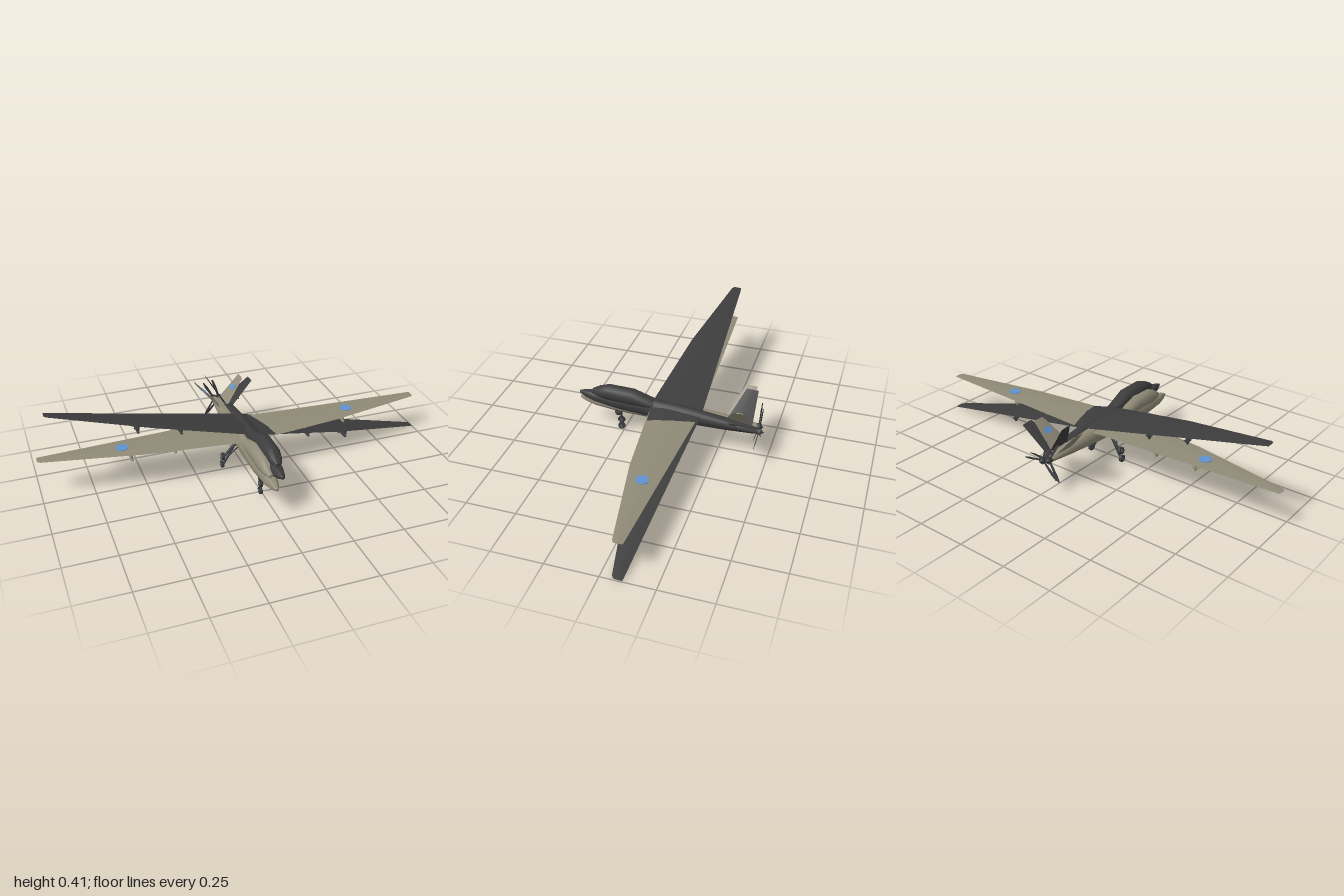
import * as THREE from 'three';
import { toCreasedNormals } from 'three/addons/utils/BufferGeometryUtils.js';

const mat = (name, color) => new THREE.MeshStandardMaterial({ name, color });

// Skin joining rings of [x, y, z] points, with both ends capped
function loft(rings, crease) {
  const n = rings[0].length, pos = rings.flat(2), idx = [];
  rings.forEach((_, k) => {
    if (k === rings.length - 1) return;
    for (let j = 0; j < n; j++) {
      const a = k * n + j, b = k * n + (j + 1) % n;
      idx.push(a, a + n, b, b, a + n, b + n);
    }
  });
  const last = (rings.length - 1) * n;
  for (let j = 1; j < n - 1; j++) idx.push(0, j, j + 1, last, last + j + 1, last + j);
  const g = new THREE.BufferGeometry();
  g.setAttribute('position', new THREE.Float32BufferAttribute(pos, 3));
  g.setIndex(idx);
  return toCreasedNormals(g, crease);
}

// Body from stations [z, top, bottom, halfWidth]
function body(stations) {
  return loft(stations.map(([z, top, bottom, w]) => Array.from({ length: 20 }, (_, i) => {
    const a = i / 20 * Math.PI * 2;
    return [w * Math.cos(a), (top + bottom) / 2 + (top - bottom) / 2 * Math.sin(a), z];
  })), 0.7);
}

// Flying surface from stations [x, leadingZ, trailingZ, halfThickness]
function foil(stations) {
  return loft(stations.map(([x, lead, trail, t]) => {
    const at = f => lead + (trail - lead) * f;
    return [[x, 0, trail], [x, t * 0.7, at(0.65)], [x, t, at(0.3)],
      [x, 0, lead], [x, -t, at(0.3)], [x, -t * 0.7, at(0.65)]];
  }), 0.3);
}

function add(parent, name, geometry, material, x = 0, y = 0, z = 0) {
  const m = new THREE.Mesh(geometry, material);
  m.name = name;
  m.position.set(x, y, z);
  parent.add(m);
  return m;
}

// Straight rod between two points
function rod(parent, name, from, to, r, material) {
  const a = new THREE.Vector3(...from), b = new THREE.Vector3(...to);
  const m = add(parent, name, new THREE.CylinderGeometry(r, r, a.distanceTo(b), 8), material);
  m.position.copy(a).add(b).multiplyScalar(0.5);
  m.quaternion.setFromUnitVectors(new THREE.Vector3(0, 1, 0), b.sub(a).normalize());
}

function wheel(parent, name, x, y, z, mats) {
  const g = new THREE.Group();
  g.name = name;
  g.position.set(x, y, z);
  g.rotation.z = Math.PI / 2;
  add(g, 'tyre', new THREE.CylinderGeometry(0.018, 0.018, 0.013, 20), mats.gear);
  add(g, 'wheelHub', new THREE.CylinderGeometry(0.009, 0.009, 0.016, 14), mats.metal);
  parent.add(g);
}

function aircraft(name, skin, mats, marked) {
  const plane = new THREE.Group();
  plane.name = name;

  add(plane, 'fuselage', body([
    [0.48, 0.006, -0.007, 0.007], [0.45, 0.017, -0.02, 0.02], [0.40, 0.027, -0.032, 0.032],
    [0.27, 0.042, -0.045, 0.042], [0.09, 0.053, -0.05, 0.042], [-0.085, 0.052, -0.042, 0.038],
    [-0.29, 0.038, -0.024, 0.03], [-0.42, 0.022, -0.01, 0.018], [-0.445, 0.016, -0.006, 0.012],
  ]), skin);
  add(plane, 'antennaHump', body([
    [0.41, 0.04, 0.01, 0.014], [0.375, 0.062, 0.005, 0.03], [0.325, 0.084, 0, 0.039],
    [0.2, 0.089, 0, 0.041], [0.105, 0.056, 0.01, 0.035], [0.05, 0.045, 0.02, 0.02],
  ]), skin);

  // Main wing, tip to tip
  const half = [[0.99, -0.062, -0.103, 0.0015], [0.975, -0.053, -0.105, 0.002],
    [0.5, 0.04, -0.13, 0.005], [0.04, 0.094, -0.155, 0.008]];
  const mirrored = half.map(([x, ...rest]) => [-x, ...rest]).reverse();
  add(plane, 'wing', foil([...half, ...mirrored]), skin, 0, 0.035, 0);

  // V tail
  for (const s of [1, -1]) {
    const fin = new THREE.Group();
    fin.name = s > 0 ? 'leftTailFin' : 'rightTailFin';
    fin.position.y = 0.01;
    const tilt = THREE.MathUtils.degToRad(48);
    fin.rotation.z = s > 0 ? tilt : Math.PI - tilt;
    add(fin, 'finSurface', foil([[0.187, -0.345, -0.403, 0.002], [0, -0.272, -0.408, 0.005]]), skin);
    if (marked) add(fin, 'finMarking', new THREE.BoxGeometry(0.03, 0.004, 0.04), mats.blue, 0.12, s * 0.003, -0.36);
    plane.add(fin);
  }

  for (const s of [1, -1]) {
    // Wing markings
    if (marked) add(plane, 'wingMarking', new THREE.CylinderGeometry(0.03, 0.03, 0.004, 16), mats.blue, s * 0.59, 0.0395, -0.05);

    // Pylons with finned stores
    for (const x of [0.34, 0.555]) {
      const store = new THREE.Group();
      store.name = 'wingStore';
      store.position.set(s * x, 0, -0.035);
      add(store, 'pylon', new THREE.BoxGeometry(0.006, 0.032, 0.08), skin, 0, 0.018, 0);
      add(store, 'storeBody', new THREE.CylinderGeometry(0.0065, 0.0065, 0.085, 12), skin, 0, -0.006, -0.005).rotation.x = Math.PI / 2;
      add(store, 'storeNose', new THREE.SphereGeometry(0.0065, 12, 8), skin, 0, -0.006, 0.0375);
      for (const r of [0, Math.PI / 2])
        add(store, 'storeFin', new THREE.BoxGeometry(0.034, 0.002, 0.015), skin, 0, -0.006, -0.037).rotation.z = r;
      plane.add(store);
    }

    // Main landing gear
    rod(plane, 'mainGearLeg', [s * 0.025, -0.03, -0.02], [s * 0.09, -0.14, -0.02], 0.006, mats.gear);
    rod(plane, 'mainGearBrace', [s * 0.025, -0.03, 0.02], [s * 0.07, -0.105, -0.02], 0.003, mats.gear);
    wheel(plane, 'mainWheel', s * 0.097, -0.14, -0.02, mats);
  }

  // Nose gear
  rod(plane, 'noseGearLeg', [0, -0.035, 0.265], [0, -0.14, 0.265], 0.005, mats.gear);
  wheel(plane, 'noseWheel', 0, -0.14, 0.265, mats);

  // Sensor turret
  add(plane, 'turretMount', new THREE.CylinderGeometry(0.02, 0.016, 0.014, 16), mats.metal, 0, -0.046, 0.28);
  add(plane, 'sensorTurret', new THREE.SphereGeometry(0.018, 18, 12), mats.gear, 0, -0.058, 0.28);

  // Pusher propeller
  const prop = new THREE.Group();
  prop.name = 'propeller';
  prop.position.set(0, 0.004, -0.445);
  add(prop, 'propHub', new THREE.CylinderGeometry(0.015, 0.018, 0.018, 14), mats.gear).rotation.x = Math.PI / 2;
  add(prop, 'spinner', new THREE.ConeGeometry(0.012, 0.018, 14), mats.gear, 0, 0, -0.016).rotation.x = -Math.PI / 2;
  for (let i = 0; i < 3; i++) {
    const blade = new THREE.Group();
    blade.name = 'propBlade';
    blade.rotation.z = i * Math.PI * 2 / 3;
    add(blade, 'bladeSurface', foil([[0.115, 0.004, -0.004, 0.001], [0.08, 0.008, -0.008, 0.0015],
      [0.01, 0.005, -0.005, 0.002]]), mats.gear).rotation.x = 1.25;
    prop.add(blade);
  }
  plane.add(prop);
  return plane;
}

export function createModel() {
  const mats = {
    gear: mat('gearGrey', 0x3a3d40),
    metal: mat('hubGrey', 0x5c5f61),
    blue: mat('markingBlue', 0x5f92d0),
  };
  const model = new THREE.Group();
  model.name = 'aircraftPair';

  const level = aircraft('tanAircraft', mat('tanSkin', 0x908a77), mats, true);
  level.position.set(-0.01, 0.16, 0);

  // Second aircraft, banked and slightly nose-up
  const banked = aircraft('darkAircraft', mat('darkSkin', 0x3c3c3c), mats, false);
  banked.position.set(0.021, 0.181, -0.009);
  banked.rotation.set(THREE.MathUtils.degToRad(-3.5), 0, THREE.MathUtils.degToRad(-11.9));

  model.add(level, banked);
  return model;
}
